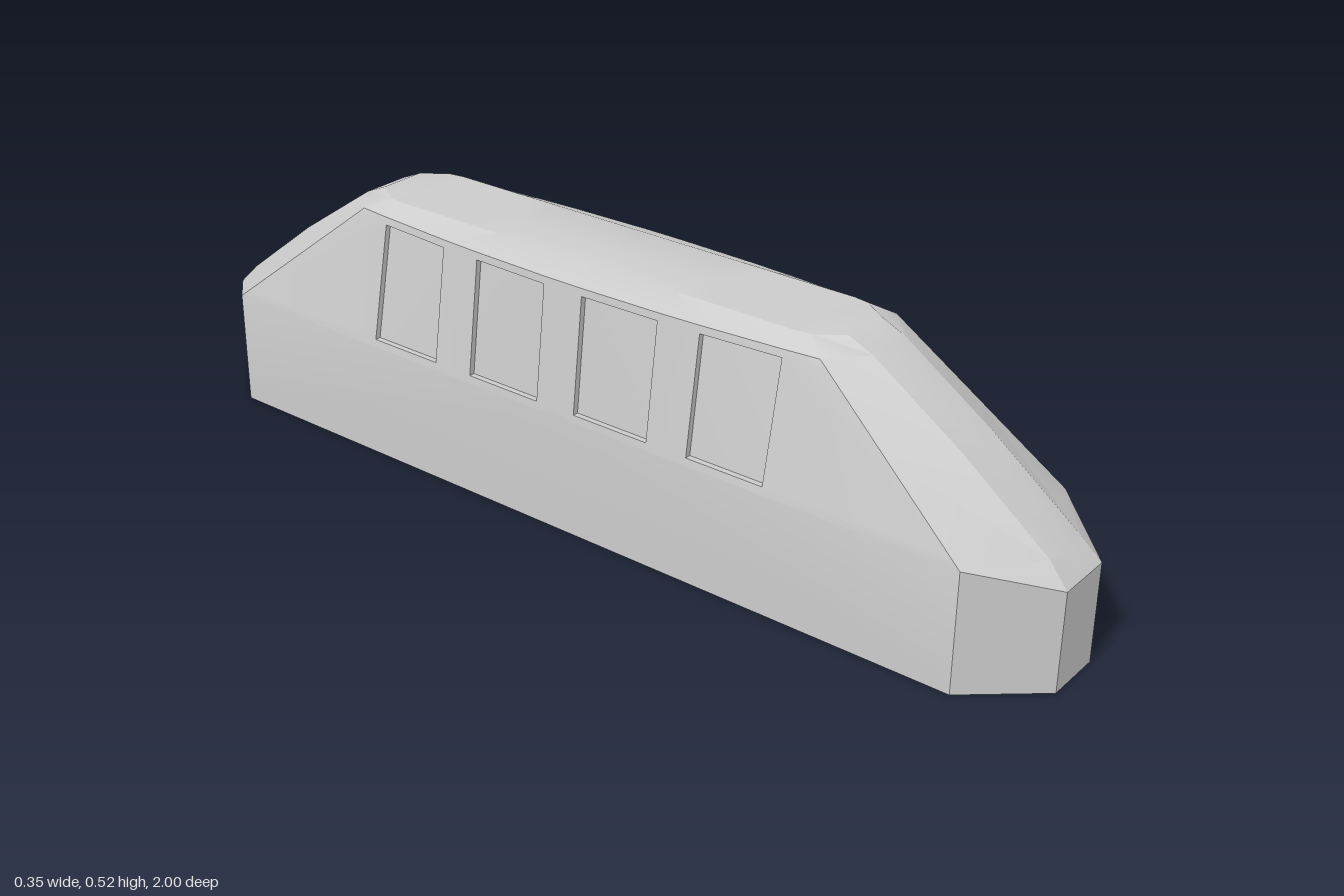
import * as THREE from 'three';
import { toCreasedNormals } from 'three/addons/utils/BufferGeometryUtils.js';

const SILL = 0.24, EAVE = 0.5, TOP = 0.522, HALF = 0.177;
const lerp = THREE.MathUtils.lerp;

// Collects faces of one quarter (+x, +z) and mirrors them into the other three.
function quarterBuilder() {
  const tris = [];
  return {
    face(...pts) {
      for (let i = 1; i < pts.length - 1; i++) {
        const t = new THREE.Triangle(...[pts[0], pts[i], pts[i + 1]].map(p => new THREE.Vector3(...p)));
        if (t.getArea() > 1e-8) tris.push([pts[0], pts[i], pts[i + 1]]);
      }
    },
    build() {
      const pos = [];
      for (const sx of [1, -1]) for (const sz of [1, -1]) for (const t of tris) {
        const ordered = sx * sz > 0 ? t : [t[0], t[2], t[1]];
        for (const [x, y, z] of ordered) pos.push(x * sx, y, z * sz);
      }
      const g = new THREE.BufferGeometry();
      g.setAttribute('position', new THREE.Float32BufferAttribute(pos, 3));
      return toCreasedNormals(g, 0.42);
    },
  };
}

// Roof edge bulges in plan, widest at the middle.
const eaveX = z => 0.148 - 0.1 * z * z;

export function createModel() {
  const group = new THREE.Group();
  const body = quarterBuilder(), panes = quarterBuilder();

  // Nose: levels from the ground to the roof, each from the centre line to the corner
  const midT = (0.375 - SILL) / (EAVE - SILL);
  const corner = t => [lerp(HALF, eaveX(0.54), t), lerp(SILL, EAVE, t), lerp(0.865, 0.54, t)];
  const levels = [
    [[0.06, 0, 1], [HALF, 0, 0.865]],
    [[0.06, 0.198, 1], corner(0)],
    [[0.052, SILL, 0.96], corner(0)],
    [[0.05, 0.375, 0.785], corner(midT)],
    [[0.05, EAVE, 0.6], corner(1)],
    [[0.05, TOP, 0.55], [0.085, TOP, 0.5]],
  ].map(l => [[0, l[0][1], l[0][2]], ...l]);
  for (let j = 0; j < levels.length - 1; j++) {
    for (let i = 0; i < 2; i++) {
      const lo = levels[j], hi = levels[j + 1];
      body.face(lo[i], lo[i + 1], hi[i + 1], hi[i]);
    }
  }

  // Lower side wall and floor
  body.face([HALF, 0, 0.865], [HALF, 0, 0], [HALF, SILL, 0], [HALF, SILL, 0.865]);
  body.face([0, 0, 0], [HALF, 0, 0], [HALF, 0, 0.865], [0.06, 0, 1], [0, 0, 1]);

  // Upper side wall: a grid whose window cells are recessed
  const zs = [0, 0.045, 0.215, 0.305, 0.47, 0.54];
  const ys = [SILL, 0.255, 0.485, EAVE];
  const wall = (i, y) => {
    const t = (y - SILL) / (EAVE - SILL);
    return i === zs.length - 1 ? corner(t) : [lerp(HALF, eaveX(zs[i]), t), y, zs[i]];
  };
  for (let i = 0; i < zs.length - 1; i++) {
    for (let j = 0; j < ys.length - 1; j++) {
      const cell = [wall(i + 1, ys[j]), wall(i, ys[j]), wall(i, ys[j + 1]), wall(i + 1, ys[j + 1])];
      if (j === 1 && (i === 1 || i === 3)) {
        const inner = cell.map(([x, y, z]) => [x - 0.012, y, z]);
        panes.face(...inner);
        for (let k = 0; k < 4; k++) {
          const n = (k + 1) % 4;
          body.face(cell[k], cell[n], inner[n], inner[k]);
        }
      } else body.face(...cell);
    }
  }

  // Roof: sloped shoulder and flat crown
  const last = zs.length - 1;
  const shoulder = i => (i === last ? [0.085, TOP, 0.5] : [0.09, TOP, zs[i]]);
  for (let i = 0; i < last; i++) {
    body.face(wall(i + 1, EAVE), wall(i, EAVE), shoulder(i), shoulder(i + 1));
    const end = i + 1 === last ? [[0, TOP, 0.55], [0.05, TOP, 0.55]] : [[0, TOP, zs[i + 1]]];
    body.face(shoulder(i + 1), shoulder(i), [0, TOP, zs[i]], ...end);
  }

  const material = new THREE.MeshStandardMaterial({ color: 0xcccccc });
  for (const [name, part] of [['carBody', body], ['windowPanes', panes]]) {
    const mesh = new THREE.Mesh(part.build(), material);
    mesh.name = name;
    group.add(mesh);
  }
  group.name = 'railCar';
  return group;
}
